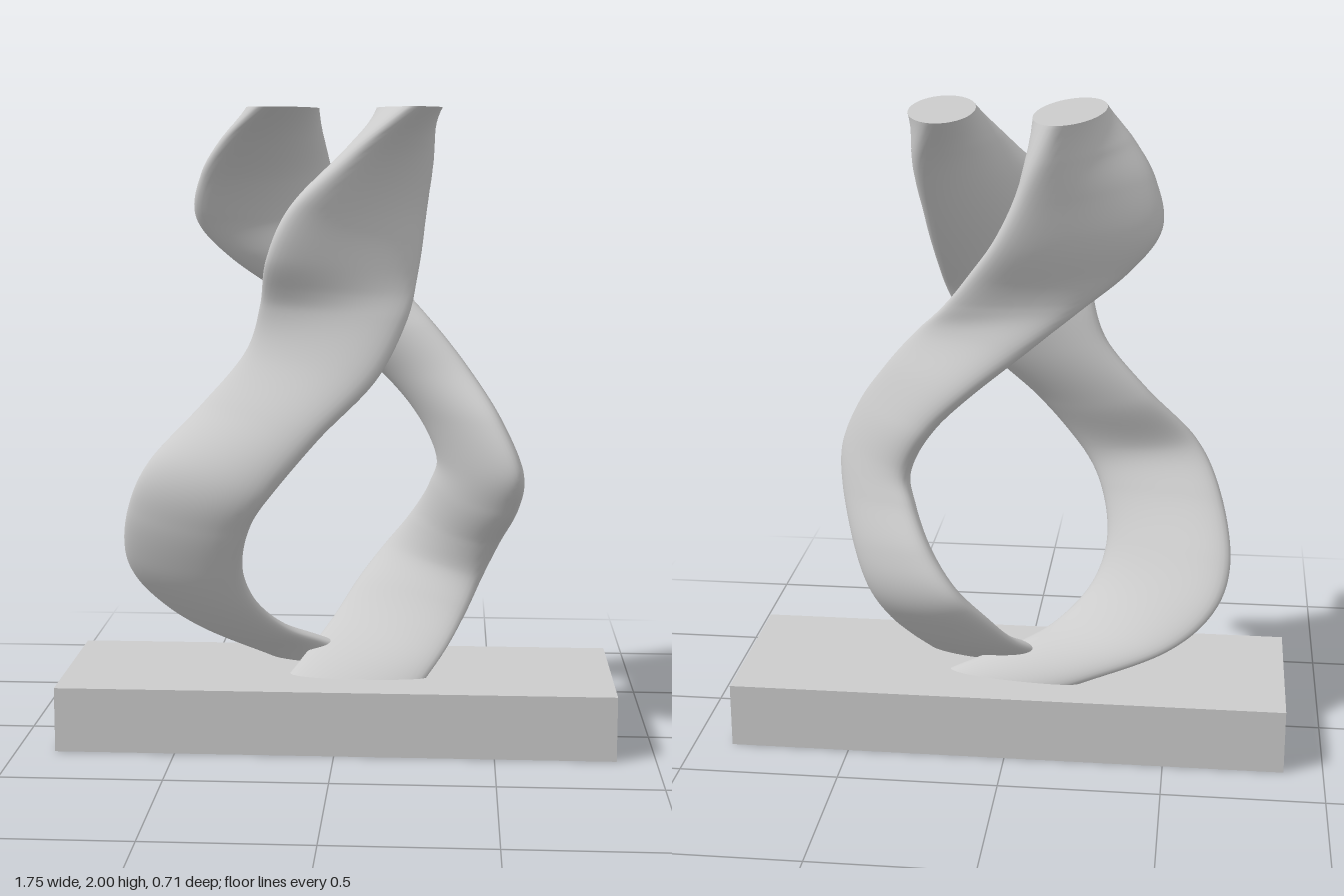
import * as THREE from 'three';

const material = new THREE.MeshStandardMaterial({ color: 0xcccccc });

// Each row: the two edges of a ribbon, x y z and x y z, from the top down
const FRONT_ROWS = [
  [0.24, 2, 0.28, 0.2, 2, -0.29],
  [0.05, 1.86, 0.265, 0.265, 1.85, -0.17],
  [-0.12, 1.71, 0.285, 0.265, 1.66, -0.04],
  [-0.2, 1.55, 0.27, 0.25, 1.5, 0.08],
  [-0.23, 1.4, 0.17, 0.22, 1.36, 0.19],
  [-0.28, 1.25, 0.13, 0.13, 1.19, 0.28],
  [-0.42, 1.08, 0.12, -0.04, 1.02, 0.34],
  [-0.58, 0.91, 0.16, -0.18, 0.85, 0.34],
  [-0.66, 0.75, 0.08, -0.26, 0.72, 0.28],
  [-0.69, 0.58, -0.05, -0.29, 0.57, 0.19],
  [-0.64, 0.45, -0.14, -0.25, 0.44, 0.11],
  [-0.5, 0.33, -0.18, -0.15, 0.34, 0.03],
  [-0.25, 0.22, -0.19, -0.03, 0.285, -0.045],
  [-0.05, 0.14, -0.19, 0.2, 0.2, -0.1],
  [0.05, 0.1, -0.19, 0.3, 0.13, -0.12],
];
const BACK_ROWS = [
  [-0.2, 2, 0.28, -0.14, 2, -0.3],
  [-0.33, 1.9, 0.15, -0.08, 1.88, -0.31],
  [-0.42, 1.79, 0.04, -0.03, 1.77, -0.3],
  [-0.45, 1.66, -0.04, 0.04, 1.64, -0.28],
  [-0.36, 1.54, -0.1, 0.12, 1.53, -0.23],
  [-0.22, 1.43, -0.17, 0.2, 1.43, -0.17],
  [-0.07, 1.32, -0.24, 0.29, 1.33, -0.08],
  [0.1, 1.19, -0.27, 0.4, 1.19, 0.01],
  [0.24, 1.05, -0.24, 0.5, 1.04, 0.12],
  [0.32, 0.9, -0.19, 0.57, 0.88, 0.17],
  [0.3, 0.8, -0.22, 0.56, 0.75, 0.09],
  [0.23, 0.67, -0.3, 0.51, 0.62, -0.04],
  [0.14, 0.55, -0.34, 0.46, 0.5, -0.1],
  [0.05, 0.44, -0.28, 0.41, 0.39, -0.07],
  [-0.03, 0.33, -0.18, 0.35, 0.29, 0],
  [-0.13, 0.225, -0.01, 0.28, 0.2, 0.07],
  [-0.22, 0.14, 0.13, 0.2, 0.1, 0.14],
];

// Half thickness by height: thin at the foot, thickest at the flat top
function halfThickness(y) {
  const { smoothstep, clamp } = THREE.MathUtils;
  return 0.04 + 0.028 * smoothstep(y, 0.25, 0.6) + 0.033 * clamp((y - 1.45) / 0.45, 0, 1);
}

// Smooth lens-section ribbon lofted between two edge curves, capped at both ends
function ribbon(name, rows, steps = 180, sides = 40) {
  const edge = (k) => new THREE.CatmullRomCurve3(
    rows.map((r) => new THREE.Vector3(r[k], r[k + 1], r[k + 2])), false, 'catmullrom', 0.5);
  const edgeA = edge(0);
  const edgeB = edge(3);
  const middle = (t) => edgeA.getPoint(t).add(edgeB.getPoint(t)).multiplyScalar(0.5);
  const positions = [];
  const index = [];

  for (let i = 0; i <= steps; i++) {
    const t = i / steps;
    const centre = middle(t);
    const half = edgeB.getPoint(t).sub(edgeA.getPoint(t)).multiplyScalar(0.5);
    const along = middle(Math.min(1, t + 0.004)).sub(middle(Math.max(0, t - 0.004)));
    const normal = half.clone().cross(along).normalize();
    // Level the section towards the flat top
    normal.y *= 1 - THREE.MathUtils.smoothstep(centre.y, 1.5, 2);
    normal.normalize().multiplyScalar(halfThickness(centre.y));
    for (let j = 0; j < sides; j++) {
      const a = (j / sides) * Math.PI * 2;
      const p = centre.clone().addScaledVector(half, Math.cos(a)).addScaledVector(normal, Math.sin(a));
      positions.push(p.x, Math.min(2, p.y), p.z);
      if (i < steps) {
        const k = (j + 1) % sides;
        const r0 = i * sides;
        const r1 = r0 + sides;
        index.push(r0 + j, r1 + j, r0 + k, r0 + k, r1 + j, r1 + k);
      }
    }
  }

  // End caps with their own vertices, so their rims stay sharp
  for (const [ring, flip] of [[0, false], [steps, true]]) {
    const start = positions.length / 3;
    const first = ring * sides * 3;
    positions.push(...positions.slice(first, first + sides * 3));
    const c = middle(ring / steps);
    positions.push(c.x, c.y, c.z);
    for (let j = 0; j < sides; j++) {
      const a = start + j;
      const b = start + ((j + 1) % sides);
      index.push(start + sides, flip ? b : a, flip ? a : b);
    }
  }

  const geometry = new THREE.BufferGeometry();
  geometry.setAttribute('position', new THREE.Float32BufferAttribute(positions, 3));
  geometry.setIndex(index);
  geometry.computeVertexNormals();
  const mesh = new THREE.Mesh(geometry, material);
  mesh.name = name;
  return mesh;
}

export function createModel() {
  const model = new THREE.Group();
  model.name = 'twistedRibbonSculpture';

  // Rectangular plinth
  const plinth = new THREE.Mesh(new THREE.BoxGeometry(1.755, 0.205, 0.57), material);
  plinth.name = 'plinth';
  plinth.position.set(0, 0.1025, -0.035);
  model.add(plinth);

  // Two entwined ribbons rising from the plinth
  model.add(ribbon('frontRibbon', FRONT_ROWS), ribbon('backRibbon', BACK_ROWS));
  return model;
}
